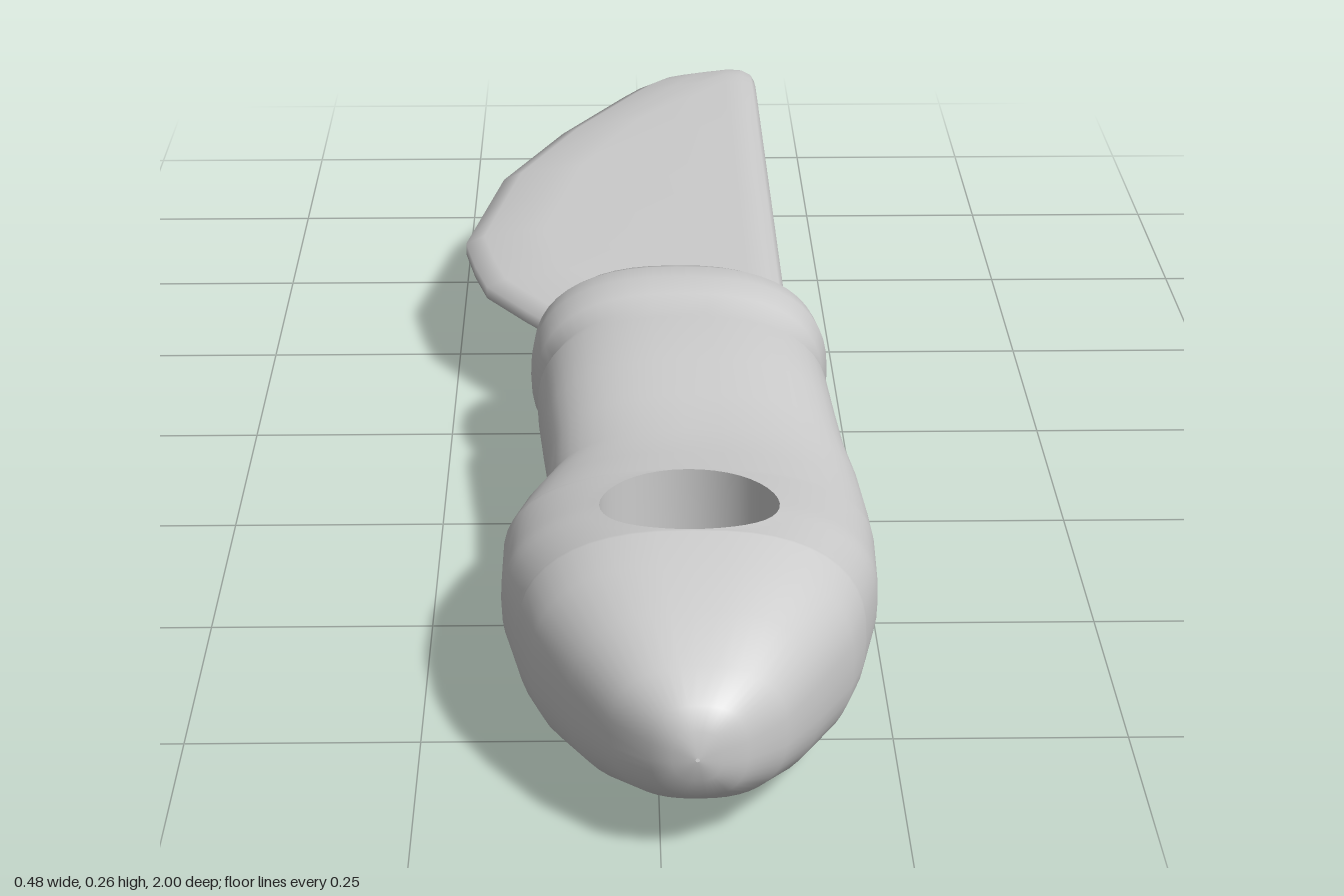
import * as THREE from 'three';
import { mergeVertices, mergeGeometries } from 'three/addons/utils/BufferGeometryUtils.js';

// Skin a list of rows of [x, y, z] points; rows run towards +z, columns clockwise seen from +z
function skin(rows) {
  const n = rows[0].length, index = [];
  for (let i = 0; i < rows.length - 1; i++) {
    for (let j = 0; j < n - 1; j++) {
      const a = i * n + j, b = a + n;
      index.push(a, b, a + 1, b, b + 1, a + 1);
    }
  }
  const geo = new THREE.BufferGeometry();
  geo.setAttribute('position', new THREE.Float32BufferAttribute(rows.flat(2), 3));
  geo.setIndex(index);
  return geo;
}

function smooth(geo) {
  const merged = mergeVertices(geo, 1e-4);
  merged.computeVertexNormals();
  return merged;
}

// Linear lookup in a table whose first column is z
function sample(table, z) {
  let i = 0;
  while (i < table.length - 2 && table[i + 1][0] < z) i++;
  const k = (z - table[i][0]) / (table[i + 1][0] - table[i][0]);
  return table[i].map((v, c) => THREE.MathUtils.lerp(v, table[i + 1][c], k));
}

// Handle sections: z, min x, max x, min y, max y
const HANDLE = [
  [0.0, 0.03, 0.04, 0.128, 0.132],
  [0.005, -0.105, 0.185, 0.06, 0.205],
  [0.03, -0.13, 0.2, 0.02, 0.245],
  [0.06, -0.143, 0.215, 0.004, 0.256],
  [0.1, -0.145, 0.22, 0.0, 0.26],
  [0.14, -0.137, 0.212, 0.006, 0.254],
  [0.165, -0.125, 0.202, 0.017, 0.243],
  [0.2, -0.135, 0.215, 0.01, 0.25],
  [0.3, -0.127, 0.22, 0.02, 0.24],
  [0.38, -0.12, 0.225, 0.031, 0.231],
  [0.45, -0.12, 0.234, 0.04, 0.222],
  [0.52, -0.148, 0.238, 0.034, 0.227],
  [0.58, -0.165, 0.24, 0.024, 0.234],
  [0.68, -0.165, 0.236, 0.008, 0.249],
  [0.77, -0.146, 0.216, 0.0, 0.26],
  [0.82, -0.13, 0.2, 0.01, 0.25],
  [0.89, -0.092, 0.162, 0.027, 0.233],
  [0.95, -0.05, 0.125, 0.055, 0.205],
  [0.985, -0.012, 0.085, 0.08, 0.182],
  [0.997, 0.01, 0.06, 0.105, 0.16],
  [1.0, 0.033, 0.037, 0.128, 0.132],
];
const HOLE = { x: 0.035, z: 0.67, r: 0.095 };
const POWER = 2.5;

const spow = (v, p) => Math.sign(v) * Math.pow(Math.abs(v), p);

// One half of a handle section, from the hole edge round the outside
function halfSection(z, w, side) {
  const [, x0, x1, y0, y1] = sample(HANDLE, z);
  const cx = (x0 + x1) / 2, cy = (y0 + y1) / 2, a = (x1 - x0) / 2, b = (y1 - y0) / 2;
  const u = THREE.MathUtils.clamp((HOLE.x + side * w - cx) / a, -0.95, 0.95);
  const t0 = Math.acos(spow(u, POWER / 2));
  const t1 = side > 0 ? -t0 : t0 - 0;
  const start = side > 0 ? t0 : 2 * Math.PI - t0;
  const points = [];
  for (let j = 0; j <= 24; j++) {
    const t = THREE.MathUtils.lerp(start, t1, j / 24);
    points.push([
      cx + a * spow(Math.cos(t), 2 / POWER),
      cy + b * spow(Math.sin(t), 2 / POWER), z,
    ]);
  }
  return points;
}

function buildHandle(material) {
  const stations = HANDLE.map((s) => s[0])
    .filter((z) => Math.abs(z - HOLE.z) > HOLE.r + 0.003)
    .map((z) => [z, 0]);
  const holeStations = [];
  for (let i = 0; i <= 20; i++) {
    const t = (Math.PI * i) / 20;
    holeStations.push([HOLE.z - HOLE.r * Math.cos(t), HOLE.r * Math.sin(t)]);
  }
  const all = [...stations, ...holeStations].sort((p, q) => p[0] - q[0]);

  const group = new THREE.Group();
  group.name = 'handle';
  const halves = [1, -1].map((side) => skin(all.map(([z, w]) => halfSection(z, w, side))));
  const grip = new THREE.Mesh(smooth(mergeGeometries(halves)), material);
  grip.name = 'grip';

  // Wall of the hanging hole, joining the top rim to the bottom rim
  const walls = [1, -1].map((side) => skin(holeStations.map(([z, w]) => {
    const rim = halfSection(z, w, side);
    return [rim[rim.length - 1], rim[0]];
  })));
  const wall = new THREE.Mesh(smooth(mergeGeometries(walls)), material);
  wall.name = 'hangingHole';
  group.add(grip, wall);
  return group;
}

// Blade sections: z, cutting edge x, spine x, thickness factor
const BLADE = [
  [-1.0, 0.1, 0.122, 0.1],
  [-0.994, 0.075, 0.148, 0.4],
  [-0.98, 0.05, 0.17, 0.65],
  [-0.96, 0.024, 0.179, 0.82],
  [-0.93, 0.0, 0.18, 0.94],
  [-0.89, -0.024, 0.18, 1],
  [-0.73, -0.115, 0.18, 1],
  [-0.54, -0.197, 0.18, 1],
  [-0.42, -0.219, 0.18, 1],
  [-0.3, -0.241, 0.18, 1],
  [-0.22, -0.226, 0.18, 1],
  [-0.15, -0.208, 0.18, 1],
  [-0.07, -0.155, 0.18, 1],
  [0.0, -0.104, 0.18, 1],
  [0.05, -0.09, 0.18, 1],
];

// Distance from the cutting edge (or back from the spine, if negative) and half thickness
const BLADE_SIDE = [
  [0, 0.008], [0.025, 0.019], [0.075, 0.026], [0.11, 0.03],
  [-0.05, 0.0325], [-0.022, 0.031], [-0.008, 0.023], [-0.001, 0.01],
];

function buildBlade(material) {
  const rows = BLADE.map(([z, x0, x1, f]) => {
    const squeeze = Math.min(1, (x1 - x0) / 0.18);
    const top = BLADE_SIDE.map(([d, h]) => [(d < 0 ? x1 : x0) + d * squeeze, 0.133 + h * f, z]);
    const bottom = top.map(([x, y]) => [x, 0.266 - y, z]).reverse();
    return [...top, ...bottom, top[0]];
  });
  const blade = new THREE.Mesh(smooth(skin(rows)), material);
  blade.name = 'blade';
  return blade;
}

export function createModel() {
  const material = new THREE.MeshStandardMaterial({ color: 0xcccccc, side: THREE.DoubleSide });
  const model = new THREE.Group();
  model.name = 'knife';
  model.add(buildHandle(material), buildBlade(material));
  return model;
}
